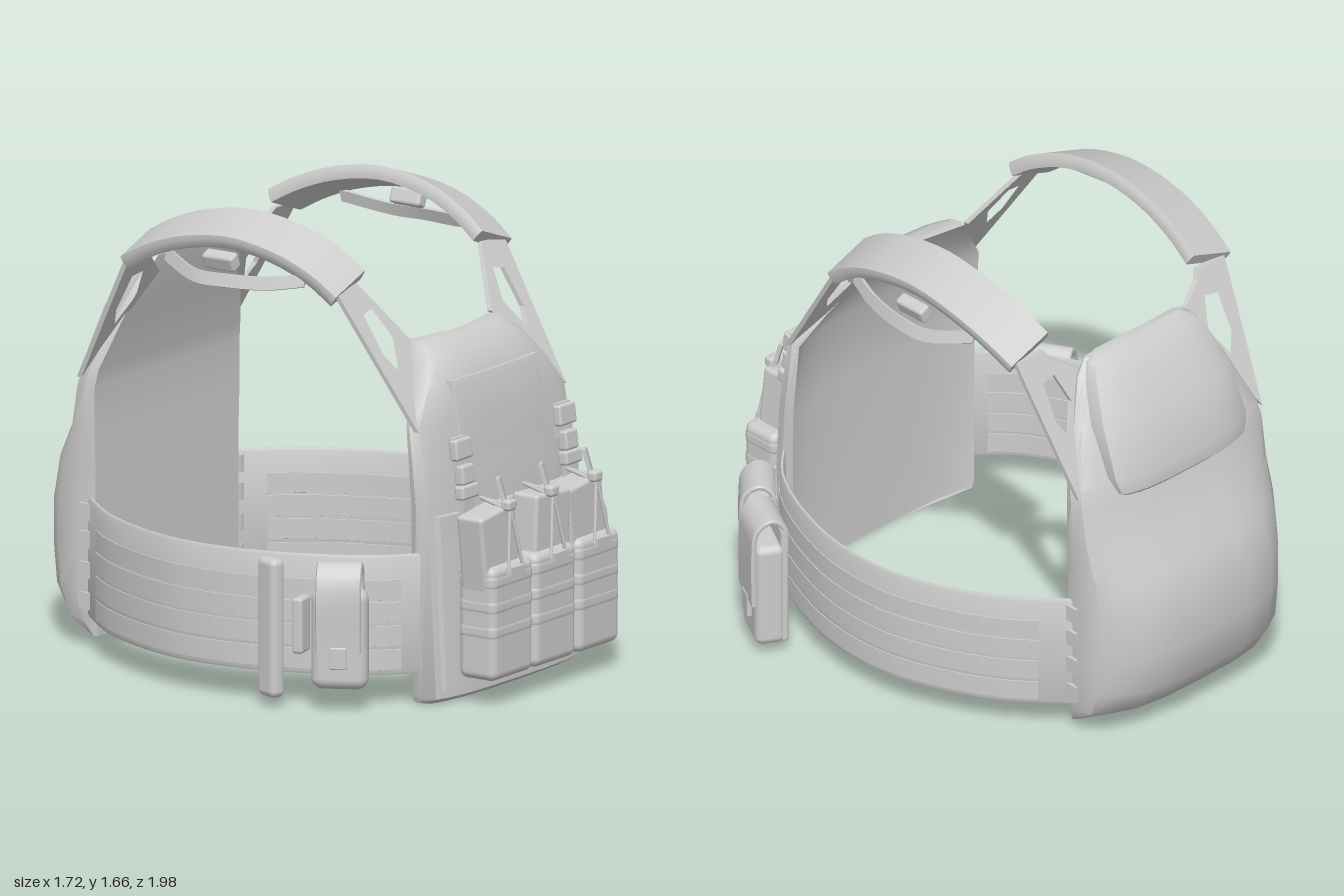
import * as THREE from 'three';
import { toCreasedNormals } from 'three/addons/utils/BufferGeometryUtils.js';
import { RoundedBoxGeometry } from 'three/addons/geometries/RoundedBoxGeometry.js';

const V = (x, y, z) => new THREE.Vector3(x, y, z);
const fabric = new THREE.MeshStandardMaterial({ color: 0xcccccc });
fabric.name = 'greyFabric';

function add(parent, name, geo, x = 0, y = 0, z = 0, rx = 0, ry = 0, rz = 0) {
  const m = new THREE.Mesh(geo, fabric);
  m.name = name;
  m.position.set(x, y, z);
  m.rotation.set(rx, ry, rz);
  parent.add(m);
}

// Closed skin over equal-length rings, capped at both ends
function loft(rings, crease = 0.7) {
  const n = rings[0].length, pos = [], idx = [];
  rings.forEach(r => r.forEach(p => pos.push(p.x, p.y, p.z)));
  for (let i = 0; i < rings.length - 1; i++) {
    for (let j = 0; j < n; j++) {
      const a = i * n + j, b = i * n + (j + 1) % n;
      idx.push(a, a + n, b, b, a + n, b + n);
    }
  }
  [0, rings.length - 1].forEach((k, end) => {
    const c = rings[k].reduce((s, p) => s.add(p), V(0, 0, 0)).divideScalar(n);
    const ci = pos.length / 3;
    pos.push(c.x, c.y, c.z);
    for (let j = 0; j < n; j++) {
      const a = k * n + j, b = k * n + (j + 1) % n;
      if (end) idx.push(ci, b, a); else idx.push(ci, a, b);
    }
  });
  const g = new THREE.BufferGeometry();
  g.setAttribute('position', new THREE.Float32BufferAttribute(pos, 3));
  g.setIndex(idx);
  return toCreasedNormals(g, crease);
}

// Upright padded panel; rows are [y, halfWidth, zBack, zFront]
function panel(rows, bow, pillow = 0) {
  const xs = [1, 0.97, 0.85, 0.65, 0.35, 0, -0.35, -0.65, -0.85, -0.97, -1];
  return loft(rows.map(([y, hw, zb, zf]) => {
    const at = (x, d) => V(x * hw, y, zb - bow * x ** 4 + (zf - zb) * d * (1 - pillow * x ** 4));
    const front = xs.map(x => at(x, Math.abs(x) === 1 ? 0.5 : 1));
    const back = xs.slice(1, -1).reverse().map(x => at(x, 0));
    return [...front, ...back];
  }));
}

// Flat webbing swept along a smooth path, w is its width direction
const PROFILE = [[1, -0.4], [0.95, -1], [-0.95, -1], [-1, -0.4], [-1, 0.4], [-0.95, 1], [0.95, 1], [1, 0.4]];
function sweep(points, w, halfWidth, halfThick, steps = 20, t0 = 0, t1 = 1) {
  const curve = new THREE.CatmullRomCurve3(points), rings = [];
  for (let i = 0; i <= steps; i++) {
    const t = t0 + (t1 - t0) * i / steps;
    const p = curve.getPoint(t), tan = curve.getTangent(t);
    const normal = tan.cross(w).normalize();
    rings.push(PROFILE.map(([u, v]) => p.clone()
      .addScaledVector(w, u * halfWidth).addScaledVector(normal, v * halfThick)));
  }
  return loft(rings);
}

const cord = (a, b, r = 0.007) => new THREE.TubeGeometry(new THREE.LineCurve3(a, b), 1, r, 6);
const rbox = (w, h, d, r) => new RoundedBoxGeometry(w, h, d, 3, r);
const box = (w, h, d) => new THREE.BoxGeometry(w, h, d);

// Shoulder web with a cut-out, sloping by z = zAt(y)
function shoulderWeb(s, innerY, zAt) {
  const pts = a => a.map(([x, y]) => new THREE.Vector2(x * s, y));
  const shape = new THREE.Shape(pts([[0.45, 0.97], [0.505, 1.4], [0.51, 1.45], [0.38, 1.45], [0.36, 1.42], [0.25, innerY]]));
  shape.holes.push(new THREE.Path(pts([[0.428, 1.357], [0.37, 1.366], [0.335, 1.264], [0.393, 1.165], [0.43, 1.227]])));
  const g = new THREE.ExtrudeGeometry(shape, { depth: 0.02, bevelEnabled: false });
  const p = g.attributes.position;
  for (let i = 0; i < p.count; i++) p.setZ(i, p.getZ(i) - 0.01 + zAt(p.getY(i)));
  g.computeVertexNormals();
  return g;
}

function magazinePouch(parent, x, tilt) {
  const g = new THREE.Group();
  g.name = 'magazinePouch';
  g.position.x = x;
  add(g, 'pouchBody', rbox(0.25, 0.41, 0.155, 0.03), 0, 0.3, 0.895);
  [0.45, 0.36, 0.27].forEach(y => add(g, 'pouchWebbing', rbox(0.254, 0.075, 0.159, 0.03), 0, y, 0.895));
  add(g, 'magazine', rbox(0.21, 0.36, 0.11, 0.015), tilt * -0.25, 0.52, 0.89, 0, 0, tilt);
  // elastic retainer and pull tab
  for (const s of [-1, 1]) {
    add(g, 'elasticCord', cord(V(s * 0.045, 0.48, 0.98), V(0, 0.71, 0.955)));
    add(g, 'elasticCord', cord(V(s * 0.02, 0.7, 0.95), V(0, 0.72, 0.83)));
  }
  add(g, 'retainerPlate', box(0.085, 0.03, 0.02), 0, 0.48, 0.982);
  add(g, 'knot', rbox(0.05, 0.04, 0.04, 0.012), 0, 0.71, 0.95);
  add(g, 'pullTab', box(0.045, 0.1, 0.015), 0, 0.755, 0.92, -0.3, 0.5, 0.15);
  parent.add(g);
}

function sidePouch(parent, x, z, turn) {
  const g = new THREE.Group();
  g.name = 'sidePouch';
  g.position.set(x, 0, z);
  g.rotation.y = turn;
  add(g, 'pouchBack', rbox(0.18, 0.46, 0.03, 0.012), 0, 0.28, -0.05);
  add(g, 'pouchPocket', rbox(0.19, 0.4, 0.11, 0.03), 0, 0.245, 0);
  add(g, 'pouchFlap', sweep([V(0, 0.42, -0.055), V(0, 0.52, -0.045), V(0, 0.545, 0),
    V(0, 0.51, 0.05), V(0, 0.42, 0.062), V(0, 0.21, 0.06)], V(1, 0, 0), 0.09, 0.009));
  add(g, 'flapTab', rbox(0.07, 0.09, 0.02, 0.006), 0, 0.18, 0.063);
  parent.add(g);
}

export function createModel() {
  const root = new THREE.Group();
  root.name = 'vest';
  const vest = new THREE.Group();
  vest.name = 'vestBody';
  vest.position.x = -0.04;
  root.add(vest);

  // Front panel, lower placard and chest patch
  add(vest, 'frontPanel', panel([[0, 0.45, 0.71, 0.78], [0.02, 0.46, 0.71, 0.81], [0.7, 0.46, 0.705, 0.775],
    [0.98, 0.455, 0.68, 0.735], [1.1, 0.365, 0.63, 0.71], [1.2, 0.285, 0.575, 0.66], [1.24, 0.25, 0.55, 0.6]], 0.045));
  add(vest, 'placard', panel([[0.05, 0.425, 0.78, 0.825], [0.67, 0.425, 0.755, 0.8]], 0.04));
  add(vest, 'chestPatch', panel([[0.84, 0.265, 0.72, 0.76], [0.98, 0.265, 0.7, 0.744], [1.1, 0.265, 0.67, 0.719],
    [1.12, 0.265, 0.66, 0.711]], 0.008));

  // Back panel with full pack and upper pocket
  add(vest, 'backPack', panel([[0.04, 0.43, 0.69, 0.74], [0.1, 0.445, 0.69, 0.9], [0.2, 0.45, 0.69, 0.97],
    [0.35, 0.45, 0.69, 0.99], [0.5, 0.45, 0.69, 0.99], [0.66, 0.45, 0.69, 0.95], [0.78, 0.455, 0.69, 0.875],
    [0.94, 0.455, 0.69, 0.83], [1.0, 0.445, 0.68, 0.81], [1.2, 0.36, 0.62, 0.72], [1.34, 0.29, 0.575, 0.64],
    [1.39, 0.24, 0.565, 0.6]], 0, 0.54), 0, 0, 0, 0, Math.PI);
  add(vest, 'upperBackPocket', panel([[0.93, 0.26, 0.75, 0.83], [0.96, 0.31, 0.74, 0.86], [1.02, 0.33, 0.7, 0.86],
    [1.2, 0.32, 0.64, 0.785], [1.33, 0.28, 0.59, 0.7], [1.38, 0.25, 0.58, 0.655], [1.405, 0.2, 0.575, 0.615]],
  0, 0.35), 0, 0, 0, 0, Math.PI);

  for (const s of [-1, 1]) {
    // Shoulder webs and pads
    add(vest, 'frontShoulderWeb', shoulderWeb(s, 1.245, y => 0.39 + (1.43 - y) * 0.65));
    add(vest, 'backShoulderWeb', shoulderWeb(s, 1.34, y => -0.5 - (1.45 - y) * 0.52));
    const padPath = [[0.44, 1.445, 0.39], [0.45, 1.51, 0.3], [0.465, 1.575, 0.15], [0.47, 1.605, -0.05],
      [0.468, 1.575, -0.25], [0.456, 1.52, -0.4], [0.442, 1.465, -0.5]].map(([x, y, z]) => V(x * s, y, z));
    add(vest, 'shoulderPad', sweep(padPath, V(0.94 * s, -0.33, 0), 0.1, 0.025));

    // Cable loop and clip under each pad
    const loop = [[0.53, 1.475, 0.27], [0.575, 1.455, 0.14], [0.605, 1.45, -0.02], [0.6, 1.45, -0.15], [0.53, 1.49, -0.32]];
    add(vest, 'cableLoop', sweep(loop.map(([x, y, z]) => V(x * s, y, z)), V(-0.3 * s, 0.95, 0), 0.025, 0.006));
    add(vest, 'shoulderClip', rbox(0.05, 0.06, 0.13, 0.012), s * 0.57, 1.51, -0.06, 0, 0, s * -0.4);

    // Waist band with webbing rows and rear tabs
    const bandAt = y => [[0.42, -0.73], [0.61, -0.5], [0.74, -0.2], [0.765, 0], [0.73, 0.25], [0.58, 0.58], [0.38, 0.765]]
      .map(([x, z]) => V(x * s, y, z));
    const up = V(0, 1, 0);
    add(vest, 'waistBand', sweep(bandAt(0.325), up, 0.215, 0.008, 32));
    [0.165, 0.25, 0.335, 0.415].forEach(y =>
      add(vest, 'bandWebbing', sweep(bandAt(y), up, 0.038, 0.0105, 28, 0.08, 0.9)));
    [0.17, 0.28, 0.39, 0.49].forEach(y => add(vest, 'bandTab', box(0.02, 0.06, 0.07), s * 0.447, y, -0.715));

    // Chest buckles
    const bx = s * 0.315;
    add(vest, 'buckleStrap', box(0.085, 0.12, 0.02), bx, 0.88, 0.775, -0.12);
    add(vest, 'buckleTop', rbox(0.1, 0.075, 0.035, 0.01), bx, 0.9, 0.785, -0.12);
    add(vest, 'buckleBody', rbox(0.075, 0.07, 0.04, 0.01), bx, 0.81, 0.8, -0.12);
    add(vest, 'buckleBase', rbox(0.1, 0.05, 0.04, 0.01), bx, 0.75, 0.81, -0.12);
    add(vest, 'lowerStrap', box(0.07, 0.16, 0.02), bx, 0.67, 0.812, -0.05);
  }

  // Three magazine pouches across the front
  magazinePouch(vest, -0.26, 0.13);
  magazinePouch(vest, 0, -0.06);
  magazinePouch(vest, 0.265, 0.12);

  // Two flap pouches on the left side
  sidePouch(vest, 0.795, 0.455, 1.05);
  sidePouch(vest, 0.645, 0.635, 0.8);

  // Utility pouch and tool holder on the right side
  const tool = new THREE.Group();
  tool.name = 'utilityPouch';
  tool.position.set(-0.695, 0, 0.535);
  tool.rotation.y = -1.08;
  add(tool, 'utilityBody', rbox(0.2, 0.36, 0.1, 0.04), 0, 0.26, 0);
  add(tool, 'utilityCover', sweep([V(0, 0.3, -0.05), V(0, 0.48, -0.045), V(0, 0.525, 0), V(0, 0.47, 0.05),
    V(0, 0.22, 0.056)], V(1, 0, 0), 0.08, 0.009));
  add(tool, 'utilityTab', rbox(0.06, 0.08, 0.02, 0.006), 0, 0.2, 0.06);
  vest.add(tool);
  add(vest, 'toolHolder', rbox(0.06, 0.5, 0.1, 0.025), -0.78, 0.285, 0.3, 0, -0.3);
  add(vest, 'toolLink', rbox(0.08, 0.2, 0.04, 0.012), -0.74, 0.3, 0.4, 0, 0.2);
  return root;
}
